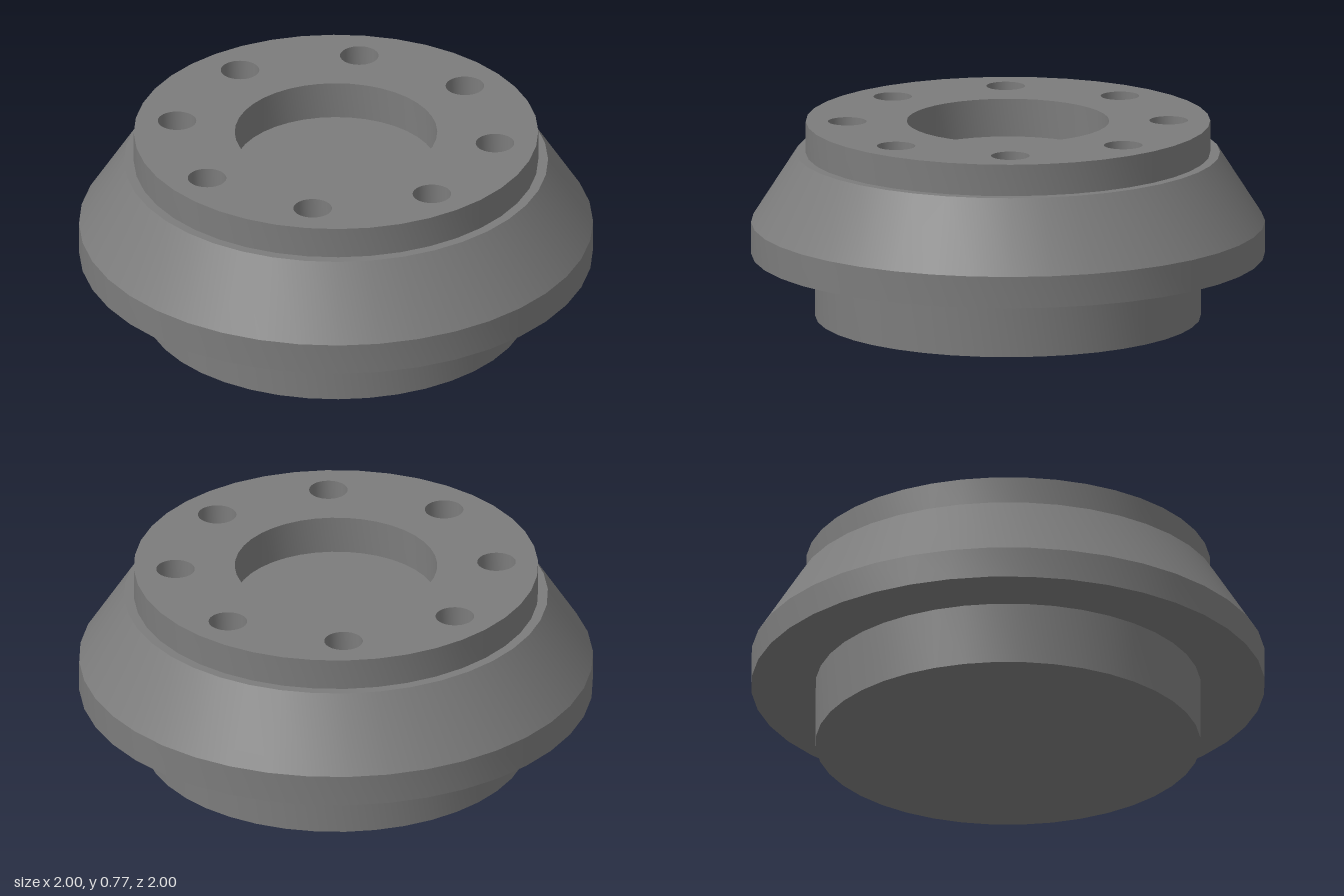
import * as THREE from 'three';
import { toCreasedNormals } from 'three/addons/utils/BufferGeometryUtils.js';

const TOP = 0.775, RECESS_FLOOR = 0.625;
const FACE_R = 0.787, BORE_R = 0.394, HOLE_R = 0.075, HOLE_CIRCLE = 0.625, HOLES = 8;
const SEGMENTS = 40;

const material = new THREE.MeshStandardMaterial({ color: 0x7c7c7c });

// Turned part with sharp edges and smooth round walls
function turned(name, profile) {
  const points = profile.map(([r, y]) => new THREE.Vector2(r, y));
  const geometry = toCreasedNormals(new THREE.LatheGeometry(points, SEGMENTS), 0.4);
  const mesh = new THREE.Mesh(geometry, material);
  mesh.name = name;
  return mesh;
}

// Blind round pocket: wall and floor
function pocket(name, radius) {
  return turned(name, [[radius, TOP], [radius, RECESS_FLOOR], [0, RECESS_FLOOR]]);
}

function circleHole(x, y, radius) {
  return new THREE.Path().absarc(x, y, radius, 0, Math.PI * 2, true);
}

export function createModel() {
  const group = new THREE.Group();
  group.name = 'mountingFlange';

  // Base spigot, wide rim, cone and raised disc
  group.add(turned('flangeBody', [
    [0, 0], [0.75, 0], [0.75, 0.25], [1, 0.25], [1, 0.375],
    [0.825, 0.65], [FACE_R, 0.65], [FACE_R, TOP],
  ]));

  // Top face pierced by the bore and the bolt holes
  const face = new THREE.Shape().absarc(0, 0, FACE_R, 0, Math.PI * 2, false);
  face.holes.push(circleHole(0, 0, BORE_R));

  group.add(pocket('centreBore', BORE_R));

  for (let i = 0; i < HOLES; i++) {
    const a = (i / HOLES) * Math.PI * 2;
    const x = HOLE_CIRCLE * Math.cos(a), z = HOLE_CIRCLE * Math.sin(a);
    face.holes.push(circleHole(x, -z, HOLE_R));
    const hole = pocket('boltHole', HOLE_R);
    hole.position.set(x, 0, z);
    group.add(hole);
  }

  // ShapeGeometry splits each arc into twice the given count
  const topFace = new THREE.Mesh(new THREE.ShapeGeometry(face, SEGMENTS / 2), material);
  topFace.name = 'topFace';
  topFace.rotation.x = -Math.PI / 2;
  topFace.position.y = TOP;
  group.add(topFace);

  return group;
}
